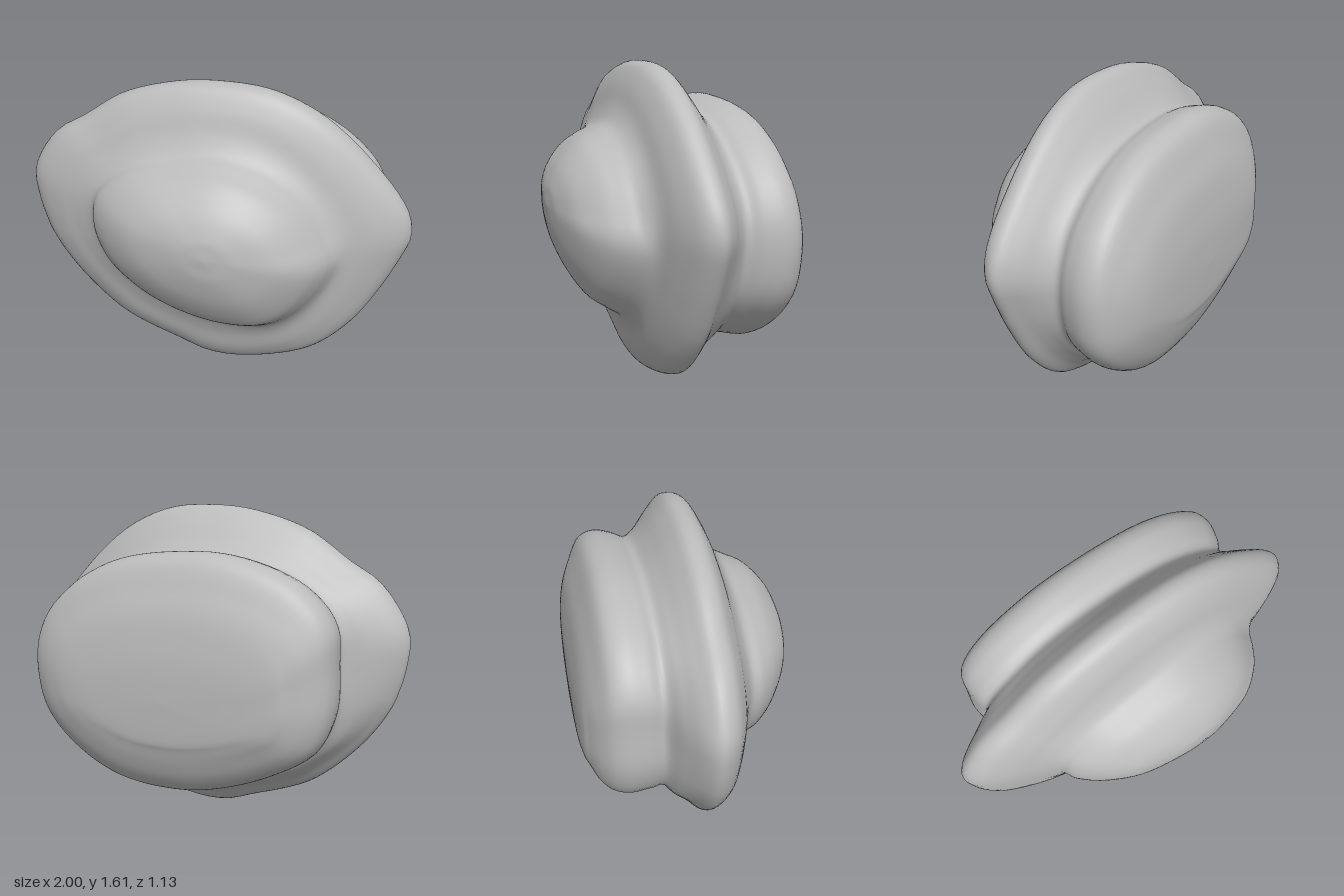
import * as THREE from 'three';

// Outlines as (x, y) points, counter-clockwise, one for each bulge
const OUTLINES = {
  back: [[.865, .75], [.855, .93], [.79, 1.08], [.7, 1.18], [.57, 1.28], [.37, 1.37], [.05, 1.42], [-.25, 1.41],
    [-.57, 1.29], [-.72, 1.12], [-.74, .9], [-.735, .68], [-.66, .5], [-.46, .36], [-.2, .25], [.05, .2],
    [.4, .23], [.67, .38], [.82, .56]],
  rim: [[1, .88], [.97, 1.02], [.77, 1.27], [.52, 1.48], [.27, 1.585], [0, 1.605], [-.2, 1.585], [-.48, 1.5],
    [-.7, 1.355], [-.84, 1.27], [-.94, 1.15], [-1, 1.02], [-.99, .85], [-.93, .65], [-.8, .45], [-.6, .25],
    [-.48, .17], [-.2, .06], [-.04, .005], [.13, 0], [.4, .065], [.57, .15], [.75, .34], [.86, .53], [.97, .78]],
  dome: [[.66, .8], [.6, .96], [.48, 1.13], [.3, 1.25], [.1, 1.3], [-.12, 1.28], [-.4, 1.2], [-.57, 1.05],
    [-.6, .88], [-.53, .68], [-.35, .51], [-.1, .4], [.15, .36], [.36, .39], [.53, .53]],
};

// Sections from back to front: z, xMin, xMax, yMin, yMax
const SECTIONS = [
  [-.567, .05, .05, .72, .72],
  [-.56, -.32, .4, .53, .89],
  [-.545, -.5, .58, .47, 1.01],
  [-.52, -.57, .68, .39, 1.14],
  [-.48, -.65, .77, .3, 1.25],
  [-.42, -.715, .845, .225, 1.38],
  [-.34, -.74, .865, .2, 1.42],
  [-.25, -.735, .84, .215, 1.405],
  [-.18, -.73, .805, .21, 1.385],
  [-.12, -.84, .85, .14, 1.44],
  [-.05, -.955, .94, .075, 1.53],
  [.02, -1, 1, 0, 1.6],
  [.1, -.95, .96, .03, 1.59],
  [.16, -.83, .84, .12, 1.5],
  [.2, -.71, .71, .25, 1.39],
  [.25, -.6, .65, .35, 1.31],
  [.32, -.56, .61, .4, 1.27],
  [.41, -.46, .54, .47, 1.22],
  [.5, -.3, .41, .62, 1.12],
  [.55, -.1, .24, .77, 1.02],
  [.562, 0, .14, .86, .96],
  [.567, .07, .07, .91, .91],
];

const AROUND = 96, STEPS = 5;

// Radius of an outline at evenly spaced angles, scaled to a -1..1 box
function radii(points) {
  const curve = new THREE.CatmullRomCurve3(points.map(([x, y]) => new THREE.Vector3(x, y, 0)), true);
  const box = new THREE.Box3().setFromPoints(curve.getPoints(300));
  const c = box.getCenter(new THREE.Vector3()), s = box.getSize(new THREE.Vector3());
  const polar = curve.getPoints(600).map((p) => {
    const x = (p.x - c.x) / s.x * 2, y = (p.y - c.y) / s.y * 2;
    return [Math.atan2(y, x), Math.hypot(x, y)];
  }).sort((a, b) => a[0] - b[0]);
  return Array.from({ length: AROUND }, (_, i) => {
    const angle = -Math.PI + i / AROUND * Math.PI * 2;
    return (polar.find((p) => p[0] >= angle) || polar[0])[1];
  });
}

// Smooth interpolation of the section table
function sectionAt(k, t) {
  const at = (i) => SECTIONS[Math.min(Math.max(i, 0), SECTIONS.length - 1)];
  const [a, b, c, d] = [at(k - 1), at(k), at(k + 1), at(k + 2)];
  return b.map((v, j) => {
    const m0 = (c[j] - a[j]) / 2, m1 = (d[j] - v) / 2;
    const t2 = t * t, t3 = t2 * t;
    return (2 * t3 - 3 * t2 + 1) * v + (t3 - 2 * t2 + t) * m0 + (3 * t2 - 2 * t3) * c[j] + (t3 - t2) * m1;
  });
}

function bodyGeometry() {
  const back = radii(OUTLINES.back), rim = radii(OUTLINES.rim), dome = radii(OUTLINES.dome);
  const positions = [], indices = [];
  const rings = (SECTIONS.length - 1) * STEPS;
  for (let r = 0; r <= rings; r++) {
    const k = Math.min(Math.floor(r / STEPS), SECTIONS.length - 2);
    const [z, x0, x1, y0, y1] = sectionAt(k, r / STEPS - k);
    // The outline changes from back lobe to rim to dome
    const wBack = 1 - THREE.MathUtils.smoothstep(z, -.23, -.03);
    const wDome = THREE.MathUtils.smoothstep(z, .14, .27);
    for (let i = 0; i < AROUND; i++) {
      const angle = -Math.PI + i / AROUND * Math.PI * 2;
      const radius = back[i] * wBack + dome[i] * wDome + rim[i] * (1 - wBack - wDome);
      positions.push(
        (x0 + x1) / 2 + (x1 - x0) / 2 * radius * Math.cos(angle),
        (y0 + y1) / 2 + (y1 - y0) / 2 * radius * Math.sin(angle), z);
      if (r < rings) {
        const a = r * AROUND + i, b = r * AROUND + (i + 1) % AROUND;
        indices.push(a, b, b + AROUND, a, b + AROUND, a + AROUND);
      }
    }
  }
  const geometry = new THREE.BufferGeometry();
  geometry.setAttribute('position', new THREE.Float32BufferAttribute(positions, 3));
  geometry.setIndex(indices);
  geometry.computeVertexNormals();
  return geometry;
}

export function createModel() {
  const stone = new THREE.MeshStandardMaterial({ color: 0xbcbcbc });
  stone.name = 'stoneGrey';
  const group = new THREE.Group();
  group.name = 'pebble';

  // One smooth body: flat back lobe, flared rim and front dome
  const body = new THREE.Mesh(bodyGeometry(), stone);
  body.name = 'body';
  group.add(body);
  return group;
}
